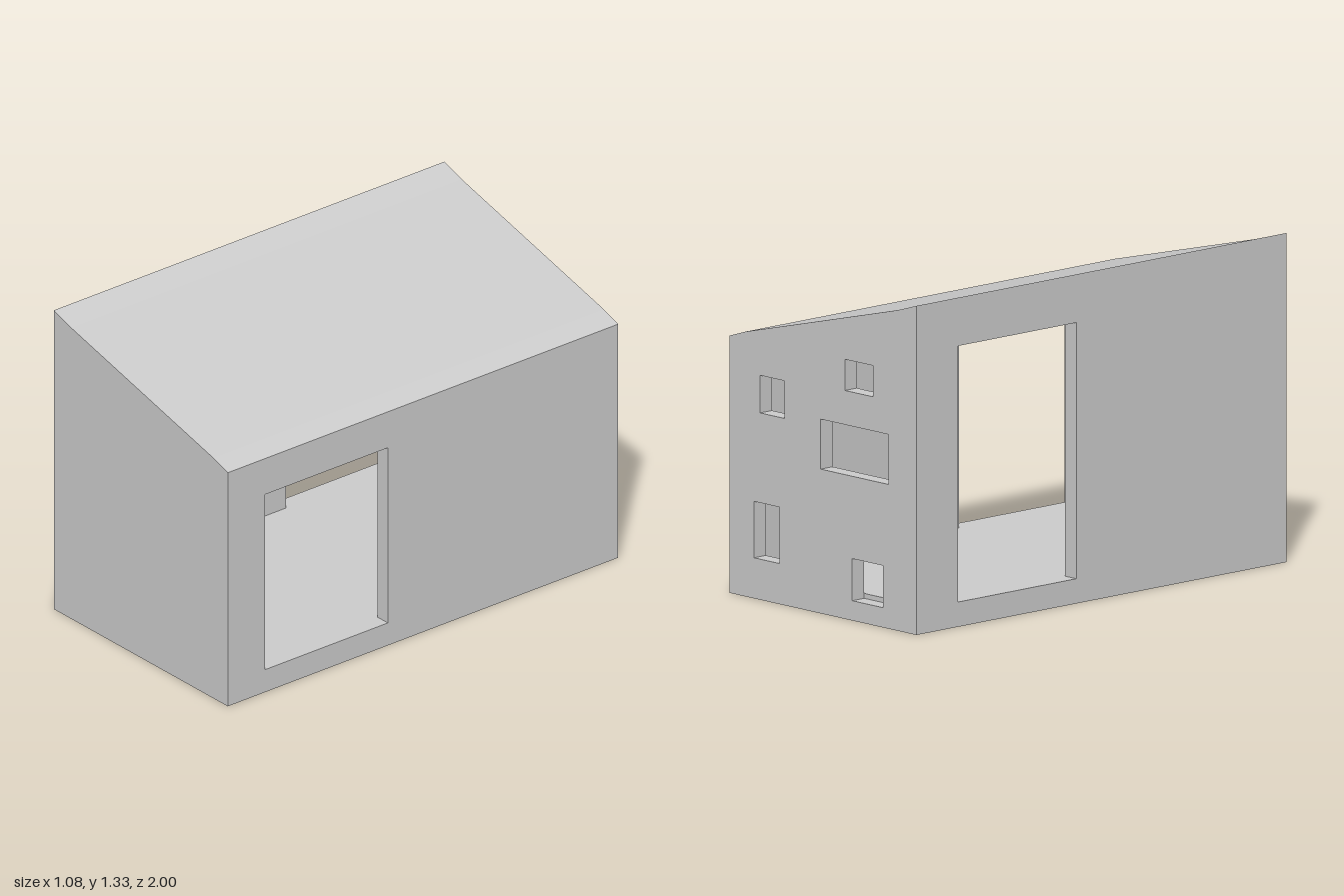
import * as THREE from 'three';

const W = 0.54, L = 1, T = 0.065;        // half width, half length, wall thickness
const FLOOR = 0.1;                        // floor top
const IN = W - T, LIN = L - T;            // inner half width and half length
const HIGH = 1.265, LOW = 1.018;          // side wall tops below the roof
const ROOF = [[W, 1.04], [0.45, 1.07], [-0.43, 1.295], [-W, 1.33]];

const material = new THREE.MeshStandardMaterial({ color: 0xcccccc, flatShading: true });

// Flat panel from an outline, with rectangular openings [u0, v0, u1, v1]
function panel(name, outline, depth, openings = []) {
  const shape = new THREE.Shape(outline.map(([u, v]) => new THREE.Vector2(u, v)));
  for (const [u0, v0, u1, v1] of openings) {
    const hole = new THREE.Path();
    hole.moveTo(u0, v0);
    hole.lineTo(u0, v1);
    hole.lineTo(u1, v1);
    hole.lineTo(u1, v0);
    hole.closePath();
    shape.holes.push(hole);
  }
  const geometry = new THREE.ExtrudeGeometry(shape, { depth, bevelEnabled: false });
  const mesh = new THREE.Mesh(geometry, material);
  mesh.name = name;
  return mesh;
}

// Long wall: the panel is turned so that u runs along -z
function sideWall(name, x, top, openings) {
  const wall = panel(name, [[-LIN, 0], [LIN, 0], [LIN, top], [-LIN, top]], T, openings);
  wall.geometry.rotateY(Math.PI / 2);
  wall.position.x = x;
  return wall;
}

export function createModel() {
  const house = new THREE.Group();
  house.name = 'house';

  // End walls with the sloping top
  const end = [[-W, 0], [W, 0], ...ROOF];
  const front = panel('frontWall', end, T);
  front.position.z = LIN;
  const windows = [
    [0.224, 0.755, 0.365, 0.907],
    [-0.288, 0.923, -0.126, 1.049],
    [-0.379, 0.583, 0.014, 0.785],
    [0.252, 0.164, 0.4, 0.392],
    [-0.347, 0.08, -0.168, 0.25],
  ];
  const back = panel('backWall', end, T, windows);
  back.position.z = -L;

  // Side walls, each with one doorway
  const left = sideWall('leftWall', IN, LOW, [[-0.81, FLOOR, -0.18, 0.88]]);
  const right = sideWall('rightWall', -W, HIGH, [[0.135, FLOOR, 0.775, 1.135]]);

  // Sloping roof resting on the side walls
  const roof = panel('roof',
    [[-W, HIGH], [-IN, HIGH], [IN, LOW], [W, LOW], ...ROOF], 2 * LIN);
  roof.position.z = -LIN;

  // Floor slab between the walls
  const floor = new THREE.Mesh(new THREE.BoxGeometry(2 * IN, FLOOR, 2 * LIN), material);
  floor.name = 'floor';
  floor.position.y = FLOOR / 2;

  house.add(front, back, left, right, roof, floor);
  return house;
}
